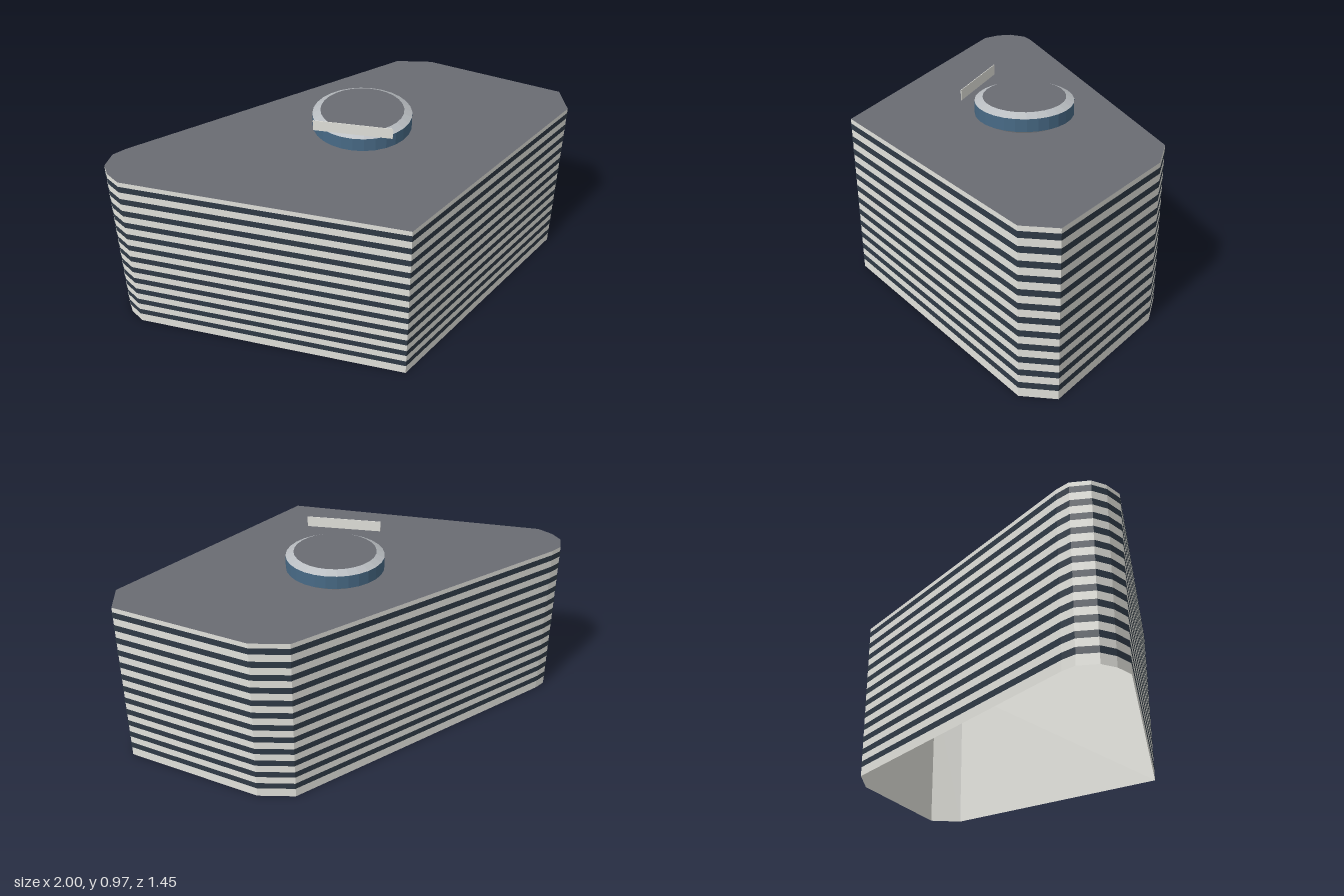
import * as THREE from 'three';

const HEIGHT = 0.812, FLOORS = 12, PITCH = 0.065;

// Footprint corners (x, z), clockwise seen from above
const PLAN = [
  [0.11, -0.70], [0.285, -0.727], [0.955, -0.54], [1, -0.38], [0.405, 0.725],
  [-0.89, 0.645], [-0.96, 0.595], [-1, 0.535], [-1, 0.445], [-0.96, 0.39],
];

const material = (color, side = THREE.DoubleSide) =>
  new THREE.MeshStandardMaterial({ color, side, flatShading: true });

function addMesh(parent, name, geometry, mat) {
  const mesh = new THREE.Mesh(geometry, mat);
  mesh.name = name;
  parent.add(mesh);
  return mesh;
}

// Vertical wall following the plan for each [bottom, top] band
function wallBands(plan, bands) {
  const pos = [];
  for (const [y0, y1] of bands) {
    plan.forEach(([ax, az], i) => {
      const [bx, bz] = plan[(i + 1) % plan.length];
      pos.push(bx, y0, bz, ax, y0, az, ax, y1, az);
      pos.push(bx, y0, bz, ax, y1, az, bx, y1, bz);
    });
  }
  const g = new THREE.BufferGeometry();
  g.setAttribute('position', new THREE.Float32BufferAttribute(pos, 3));
  g.computeVertexNormals();
  return g;
}

export function createModel() {
  const model = new THREE.Group();
  model.name = 'building';
  const light = material(0xe2e2dc);
  const dark = material(0x2f3a46, THREE.FrontSide);
  const roofGrey = material(0x6a6c73);
  const trim = material(0xb8bcc0);
  const blue = material(0x486a86);

  // Plain shell, open at the base
  addMesh(model, 'walls', wallBands(PLAN, [[0, HEIGHT]]), light);

  // Window strips lying just outside the walls
  const strips = Array.from({ length: FLOORS }, (_, i) => {
    const mid = 0.06 + i * PITCH;
    return [mid - 0.015, mid + 0.015];
  });
  const outset = PLAN.map(([x, z]) => [x * 1.002, z * 1.002]);
  addMesh(model, 'windowBands', wallBands(outset, strips), dark);

  // Flat roof
  const shape = new THREE.Shape(PLAN.map(([x, z]) => new THREE.Vector2(x, -z)));
  const roof = addMesh(model, 'roof', new THREE.ShapeGeometry(shape), roofGrey);
  roof.rotation.x = -Math.PI / 2;
  roof.position.y = HEIGHT;

  // Round rooftop drum with chamfered rims
  const drum = new THREE.Group();
  drum.name = 'roofDrum';
  drum.position.set(0.056, HEIGHT, -0.006);
  model.add(drum);
  const ring = (name, r0, r1, y0, y1, mat) => {
    const g = new THREE.CylinderGeometry(r1, r0, y1 - y0, 28, 1, true);
    addMesh(drum, name, g, mat).position.y = (y0 + y1) / 2;
  };
  ring('lowerRim', 0.195, 0.233, 0, 0.022, trim);
  ring('drumBand', 0.233, 0.233, 0.022, 0.084, blue);
  ring('upperRim', 0.233, 0.195, 0.084, 0.102, trim);
  const lid = addMesh(drum, 'drumLid', new THREE.CircleGeometry(0.195, 28), roofGrey);
  lid.rotation.x = -Math.PI / 2;
  lid.position.y = 0.102;

  // Thin blank sign panel in front of the drum
  const sign = addMesh(model, 'signPanel', new THREE.BoxGeometry(0.36, 0.05, 0.003), light);
  sign.position.set(0.058, 0.947, 0.23);

  return model;
}
